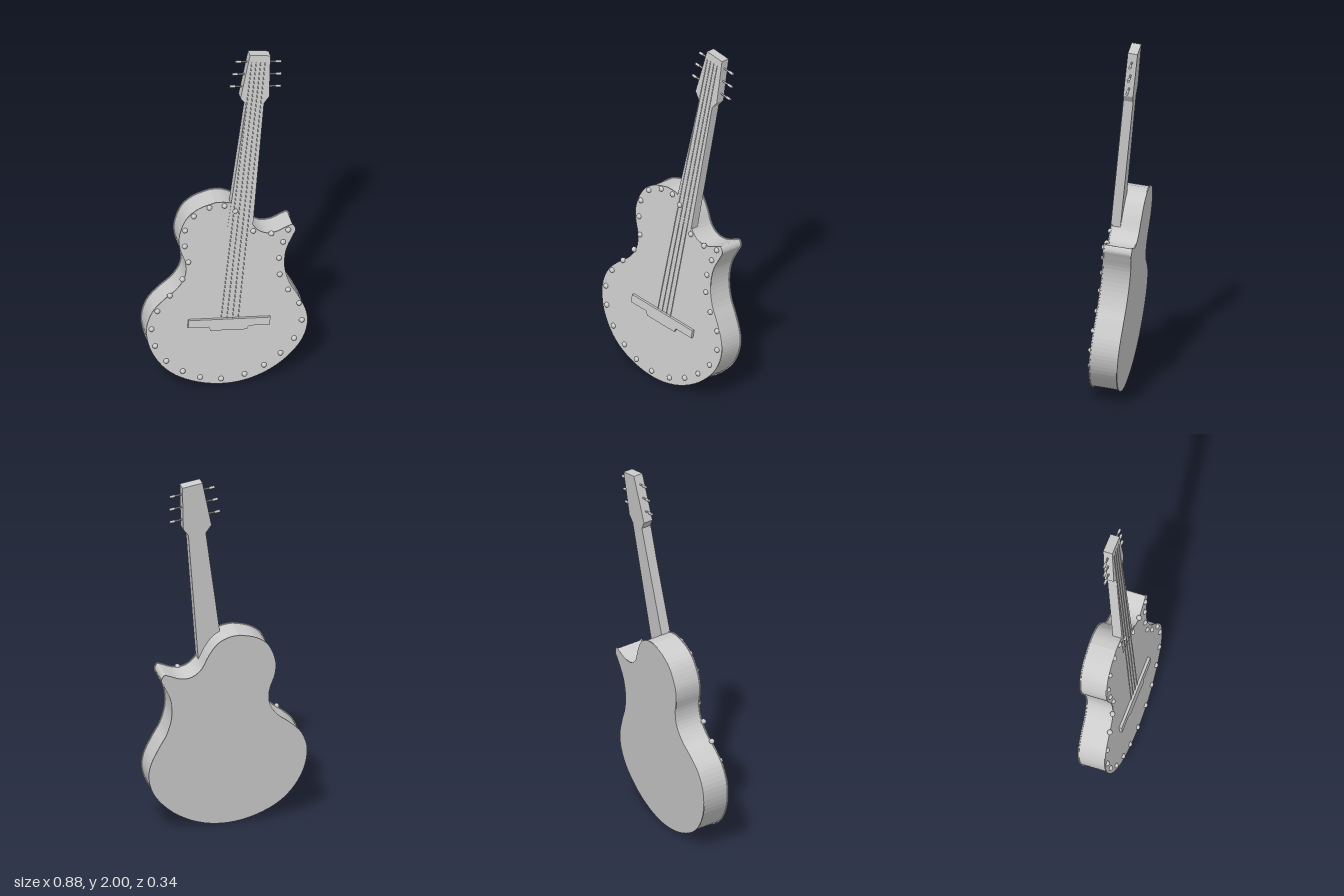
import * as THREE from 'three';

const grey = new THREE.MeshStandardMaterial({ color: 0xcccccc });
const ORIGIN = new THREE.Vector3(0, 0.4, 0.087);

// Leaning frame: u across the body, v along the neck, w out of the soundboard
const N = new THREE.Vector3(-0.155, 0.11, 1).normalize();
const V = new THREE.Vector3(0.147, 1, -0.087).normalize();
const U = new THREE.Vector3().crossVectors(V, N);

// Upright sketch position -> position on the leaning soundboard
function toBoard([x, y]) {
  const dx = x - ORIGIN.x, dy = y - ORIGIN.y, det = U.x * V.y - U.y * V.x;
  return new THREE.Vector2((dx * V.y - dy * V.x) / det, (dy * U.x - dx * U.y) / det);
}

const OUTLINE = [
  [-0.04, 1.125], [-0.13, 1.1], [-0.2, 1.045], [-0.24, 0.95], [-0.24, 0.87], [-0.215, 0.78],
  [-0.22, 0.7], [-0.265, 0.63], [-0.34, 0.57], [-0.405, 0.5], [-0.437, 0.4], [-0.42, 0.28],
  [-0.36, 0.17], [-0.27, 0.09], [-0.14, 0.035], [0, 0.017], [0.14, 0.042], [0.27, 0.11],
  [0.37, 0.21], [0.412, 0.31], [0.41, 0.4], [0.37, 0.5], [0.33, 0.58], [0.308, 0.68],
  [0.318, 0.78], [0.355, 0.86], [0.374, 0.9], [0.36, 0.932], [0.33, 0.925], [0.27, 0.902],
  [0.21, 0.905], [0.16, 0.945], [0.125, 1.02], [0.08, 1.085], [0.02, 1.118],
];

const STUDS = [
  [-0.075, 1.1], [-0.16, 1.06], [-0.21, 0.98], [-0.215, 0.885], [-0.2, 0.785], [-0.235, 0.685],
  [-0.305, 0.595], [-0.375, 0.51], [-0.41, 0.405], [-0.395, 0.3], [-0.34, 0.2], [-0.255, 0.125],
  [-0.165, 0.075], [-0.055, 0.05], [0.07, 0.06], [0.175, 0.1], [0.265, 0.16], [0.34, 0.24],
  [0.385, 0.345], [0.375, 0.45], [0.32, 0.54], [0.28, 0.64], [0.28, 0.74], [0.305, 0.835],
  [0.335, 0.905], [0.245, 0.895], [0.15, 0.925], [0.06, 1.06], [0.005, 1.1],
];

export function createModel() {
  const model = new THREE.Group();
  model.name = 'guitar';
  const frame = new THREE.Group();
  frame.name = 'leaningGuitar';
  frame.quaternion.setFromRotationMatrix(new THREE.Matrix4().makeBasis(U, V, N));
  frame.position.copy(ORIGIN);
  model.add(frame);

  const add = (name, geometry, parent = frame) => {
    const mesh = new THREE.Mesh(geometry, grey);
    mesh.name = name;
    parent.add(mesh);
    return mesh;
  };
  const group = (name) => {
    const g = new THREE.Group();
    g.name = name;
    frame.add(g);
    return g;
  };
  // Flat slab between two heights w0 < w1, optionally shrunk by an inset
  const slab = (points, w0, w1, inset = 0) => new THREE.ExtrudeGeometry(new THREE.Shape(points), {
    depth: w1 - w0, steps: 1, bevelEnabled: inset > 0,
    bevelThickness: 0, bevelSize: 0, bevelOffset: -inset, bevelSegments: 1,
  }).translate(0, 0, w0);
  const vecs = (list) => list.map(([x, y]) => new THREE.Vector2(x, y));
  const rod = (name, a, b, r, sides, parent) => {
    const path = new THREE.LineCurve3(new THREE.Vector3(...a), new THREE.Vector3(...b));
    const dir = path.v2.clone().sub(path.v1);
    const mesh = add(name, new THREE.CylinderGeometry(r, r, dir.length(), sides), parent);
    mesh.position.copy(path.getPoint(0.5));
    mesh.quaternion.setFromUnitVectors(new THREE.Vector3(0, 1, 0), dir.normalize());
  };

  // Body: faceted sides between two plates that overhang slightly
  const curve = new THREE.SplineCurve([...OUTLINE, OUTLINE[0]].map(toBoard));
  const outline = curve.getPoints(140).slice(0, -1);
  const T = 0.153;
  add('soundboard', slab(outline, -0.006, 0));
  add('bodySides', slab(outline, -T + 0.006, -0.006, 0.005));
  add('backPlate', slab(outline, -T, -T + 0.006));

  // Sound hole disc, just proud of the soundboard
  const hole = toBoard([0.052, 0.75]);
  add('soundHole', new THREE.CircleGeometry(0.1, 40).translate(hole.x, hole.y, 0.0008));

  // Neck and headstock in one tapering slab
  add('neckAndHeadstock', slab(vecs([
    [-0.068, 0.56], [0.068, 0.56], [0.047, 1.32], [0.071, 1.362], [0.051, 1.61],
    [-0.06, 1.613], [-0.083, 1.352], [-0.048, 1.312],
  ]), -0.05, 0.002));

  // Bridge with a lower centre tab
  const bridge = add('bridge', slab(vecs([
    [-0.22, -0.03], [-0.108, -0.03], [-0.098, -0.052], [0.098, -0.052], [0.108, -0.03],
    [0.22, -0.03], [0.22, 0.015], [-0.22, 0.015],
  ]), -0.001, 0.015));
  bridge.rotation.z = 0.035;

  // Strings
  const strings = group('strings');
  for (let i = 0; i < 4; i++) {
    const t = i / 1.5 - 1;
    rod('string', [0.003 + t * 0.046, 0, 0.004], [-0.01 + t * 0.036, 1.57, 0.004], 0.0022, 6, strings);
  }

  // Tuning pegs, three on each side
  const pegs = group('tuningPegs');
  for (const s of [-1, 1]) {
    [[1.41, 0.138], [1.485, 0.133], [1.56, 0.123]].forEach(([v, end]) => {
      const c = -0.004;
      rod('pegShaft', [c + s * 0.04, v, -0.025], [c + s * end, v, -0.025], 0.0045, 8, pegs);
      rod('pegKnob', [c + s * (end - 0.028), v, -0.025], [c + s * end, v, -0.025], 0.0075, 8, pegs);
    });
  }

  // Domed studs around the rim
  const studs = group('rimStuds');
  const dome = new THREE.SphereGeometry(0.0145, 14, 10);
  for (const p of STUDS) {
    const { x, y } = toBoard(p);
    add('stud', dome, studs).position.set(x, y, 0);
  }
  return model;
}
